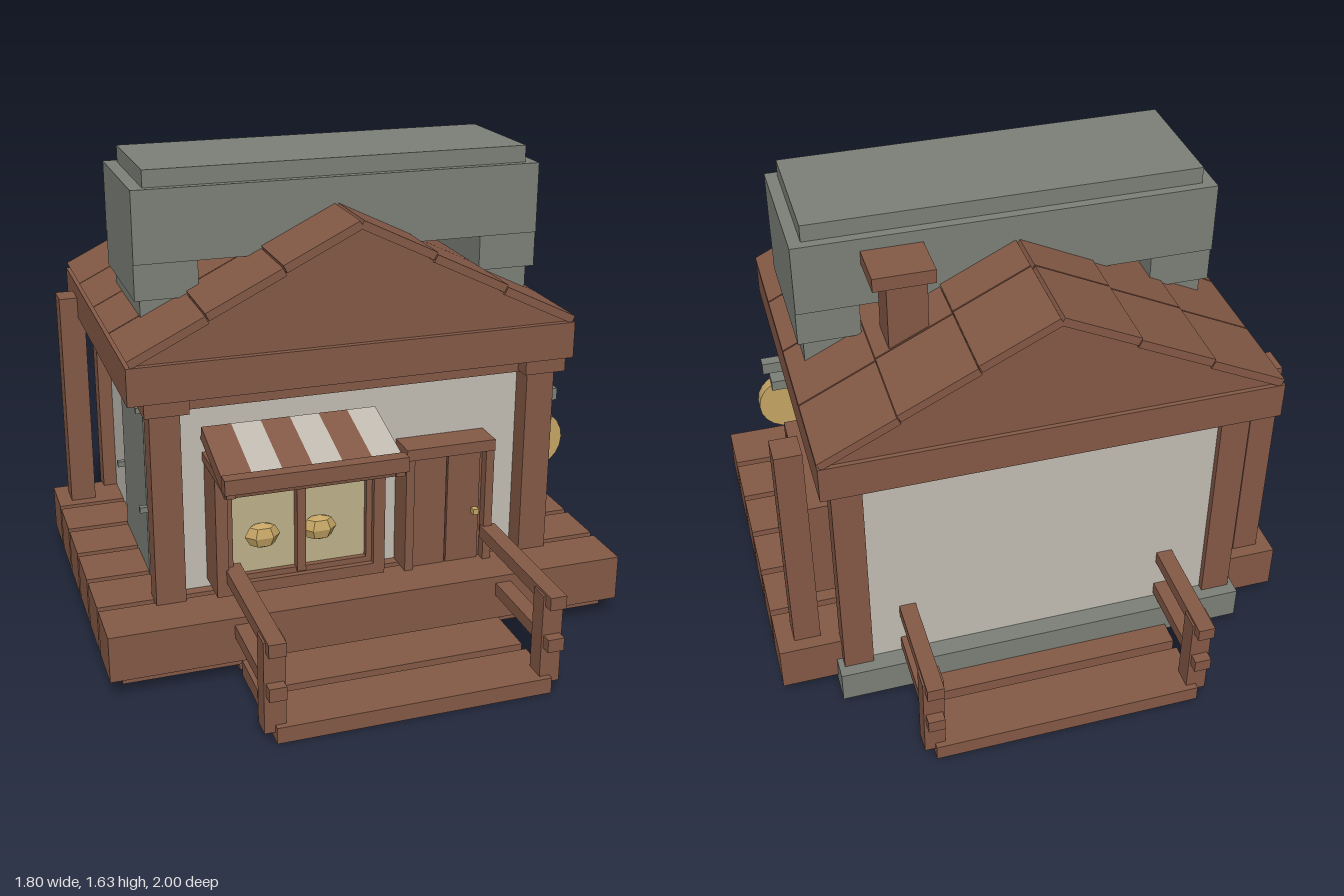
import * as THREE from 'three';

const mat = (name, color) => {
  const m = new THREE.MeshStandardMaterial({ color });
  m.name = name;
  return m;
};

export function createModel() {
  const wood = mat('wood', 0x835845);
  const stone = mat('stone', 0x7b7f77);
  const plaster = mat('plaster', 0xc0bab1);
  const glass = mat('glass', 0xbbb088);
  const gold = mat('gold', 0xc4a464);

  const root = new THREE.Group();
  const group = (name) => {
    const g = new THREE.Group();
    g.name = name;
    root.add(g);
    return g;
  };
  const add = (name, geo, m, parent = root) => {
    const mesh = new THREE.Mesh(geo, m);
    mesh.name = name;
    parent.add(mesh);
    return mesh;
  };
  // Box given by its extents on each axis
  const box = (name, m, [x0, x1], [y0, y1], [z0, z1], parent) => {
    const mesh = add(name, new THREE.BoxGeometry(x1 - x0, y1 - y0, z1 - z0), m, parent);
    mesh.position.set((x0 + x1) / 2, (y0 + y1) / 2, (z0 + z1) / 2);
    return mesh;
  };

  // Porch deck, foundation and the plank walkway under them
  const porch = group('porch');
  box('deckFrame', wood, [-0.855, 0.855], [0.036, 0.2], [-0.565, 0.565], porch);
  box('foundation', stone, [-0.73, 0.71], [0.032, 0.145], [-0.68, 0.48], porch);
  for (let i = 0; i < 6; i++) {
    const z = -0.6 + i * 0.204;
    box('deckPlank', wood, [-0.9, 0.9], [0.07, 0.23], [z, z + 0.18], porch);
  }
  for (let i = 0; i < 9; i++) {
    const z = -0.89 + i * 0.2225;
    box('walkwayPlank', wood, [-0.46, 0.46], [0, 0.055], [z - 0.095, z + 0.095], porch);
  }

  // Handrails at the front and back
  const rails = group('handrails');
  for (const sx of [-1, 1]) for (const sz of [-1, 1]) {
    const x = sx * 0.46;
    const span = (a, b) => (sz > 0 ? [a, b] : [-b, -a]);
    box('railPost', wood, [x - 0.035, x + 0.035], [0.03, 0.345], span(0.895, 0.965), rails);
    for (const y of [0.16, 0.31])
      box('rail', wood, [x - 0.028, x + 0.028], [y, y + 0.045], span(0.45, 1), rails);
  }

  // Walls, corner posts and beams
  const house = group('house');
  box('walls', plaster, [-0.66, 0.64], [0.1, 1], [-0.615, 0.36], house);
  box('stoneShaft', stone, [-0.685, 0.665], [0.1, 1.1], [-0.2, 0.2], house);
  for (const x of [-0.66, 0.64]) {
    box('frontPost', wood, [x - 0.05, x + 0.05], [0.2, 0.95], [0.355, 0.44], house);
    box('postCapital', wood, [x - 0.07, x + 0.075], [0.9, 0.955], [0.34, 0.47], house);
    box('backPost', wood, [x - 0.05, x + 0.05], [0.14, 0.96], [-0.64, -0.56], house);
    box('sideBeam', wood, [x - 0.035, x + 0.035], [0.935, 0.96], [-0.6, 0.4], house);
    for (const z of [-0.203, 0.203]) for (const y of [0.46, 0.82])
      box('shaftPeg', stone, [x - 0.05, x + 0.05], [y, y + 0.02], [z - 0.01, z + 0.01], house);
  }
  for (const x of [-0.805, 0.797])
    box('tallPost', wood, [x - 0.045, x + 0.045], [0.2, 1.03], [-0.555, -0.46], house);
  box('frontBeam', wood, [-0.61, 0.59], [0.893, 0.937], [0.35, 0.41], house);

  // Roof: eaves frame, gable prism and tilted panels
  const roof = group('roof');
  box('eavesFrame', wood, [-0.785, 0.73], [0.955, 1.08], [-0.7, 0.495], roof);
  const ridgeX = -0.025;
  const gable = new THREE.Shape([
    new THREE.Vector2(-0.765, 1.075), new THREE.Vector2(0.715, 1.075), new THREE.Vector2(ridgeX, 1.46),
  ]);
  add('gable', new THREE.ExtrudeGeometry(gable, { depth: 1.16, bevelEnabled: false }), wood, roof).position.z = -0.685;
  const slope = 0.48, panelLength = 0.278;
  for (const side of [-1, 1]) for (let row = 0; row < 3; row++) for (let col = 0; col < 4; col++) {
    const d = (row + 0.5) * 0.282;
    const panel = add('roofPanel', new THREE.BoxGeometry(panelLength, 0.028, 0.293), wood, roof);
    panel.position.set(ridgeX + side * d * Math.cos(slope), 1.474 - d * Math.sin(slope), -0.551 + col * 0.298);
    panel.rotation.z = -side * (slope - 0.025);
  }

  // Stone beam across the roof, carried by a block at each end
  const beam = group('stoneBeam');
  box('beamBody', stone, [-0.7, 0.695], [1.33, 1.57], [-0.245, 0.24], beam);
  box('beamTop', stone, [-0.657, 0.655], [1.565, 1.627], [-0.213, 0.215], beam);
  for (const [a, b] of [[-0.7, -0.49], [0.49, 0.695]]) {
    box('beamSupport', stone, [a, b], [1.21, 1.33], [-0.235, 0.235], beam);
    box('supportFoot', stone, [a + 0.02, b - 0.02], [1.1, 1.21], [-0.213, 0.213], beam);
  }

  // Chimney
  const chimney = group('chimney');
  box('chimneyShaft', wood, [0.305, 0.435], [1.1, 1.485], [-0.395, -0.265], chimney);
  box('chimneyCap', wood, [0.28, 0.48], [1.48, 1.527], [-0.41, -0.24], chimney);

  // Window in its own plane: x to the right, y up, z outwards, centred on the pane
  const makeWindow = (name, w, h, depth, border) => {
    const g = group(name);
    const hw = w / 2, hh = h / 2;
    const frame = (label, a, b, t, front) => {
      for (const s of [-1, 1]) {
        box(label, wood, s > 0 ? [a - t, a] : [-a, t - a], [-b, b], [0, front], g);
        box(label, wood, [t - a, a - t], s > 0 ? [b - t, b] : [-b, t - b], [0, front], g);
      }
    };
    frame('windowFrame', hw, hh, border, depth);
    frame('innerFrame', hw - border, hh - border, 0.02, depth - 0.02);
    box('pane', glass, [-hw + border, hw - border], [-hh + border, hh - border], [0, depth - 0.04], g);
    box('mullion', wood, [-0.015, 0.015], [-hh + border + 0.01, hh - border - 0.01], [0, depth - 0.005], g);
    return g;
  };
  const shop = makeWindow('shopWindow', 0.58, 0.42, 0.145, 0.04);
  shop.position.set(-0.23, 0.47, 0.36);
  const sideWindow = makeWindow('sideWindow', 0.47, 0.38, 0.1, 0.03);
  sideWindow.position.set(0.64, 0.51, -0.205);
  sideWindow.rotation.y = Math.PI / 2;

  // Loaves displayed in the shop window
  for (const x of [-0.13, 0.065]) {
    const geo = new THREE.SphereGeometry(0.06, 6, 4).toNonIndexed();
    geo.computeVertexNormals();
    const loaf = add('loaf', geo, gold, shop);
    loaf.position.set(x, -0.015, 0.125);
    loaf.scale.set(1, 0.75, 0.6);
  }

  // Striped awning
  const awning = group('awning');
  awning.position.set(-0.235, 0.803, 0.42);
  awning.rotation.x = 0.27;
  box('awningBase', wood, [-0.295, 0.3], [-0.045, -0.02], [-0.04, 0.27], awning);
  for (let i = 0; i < 6; i++) {
    const x = -0.295 + i * 0.099;
    box('awningStripe', i % 2 ? plaster : wood, [x, x + 0.099], [-0.02, 0.004], [-0.04, 0.25], awning);
  }
  box('awningBar', wood, [-0.535, 0.065], [0.712, 0.762], [0.655, 0.7]);
  for (const x of [-0.51, 0.045])
    box('awningBracket', wood, [x - 0.015, x + 0.015], [0.69, 0.72], [0.36, 0.68]);

  // Door
  const door = group('door');
  box('doorPanel', wood, [0.17, 0.45], [0.23, 0.66], [0.35, 0.43], door);
  box('doorLintel', wood, [0.15, 0.47], [0.64, 0.68], [0.35, 0.47], door);
  for (const x of [0.15, 0.44]) box('doorJamb', wood, [x, x + 0.03], [0.23, 0.66], [0.35, 0.465], door);
  for (const x of [0.186, 0.31]) box('doorBoard', wood, [x, x + 0.118], [0.23, 0.635], [0.43, 0.442], door);
  box('doorKnob', gold, [0.4, 0.42], [0.405, 0.425], [0.44, 0.465], door);

  // Hanging sign on the right wall
  const sign = group('hangingSign');
  box('signBracket', stone, [0.62, 0.77], [0.735, 0.778], [0.28, 0.32], sign);
  box('signClamp', stone, [0.62, 0.745], [0.67, 0.708], [0.26, 0.34], sign);
  const disc = add('signDisc', new THREE.CylinderGeometry(0.106, 0.106, 0.044, 20), gold, sign);
  disc.rotation.x = Math.PI / 2;
  disc.position.set(0.69, 0.592, 0.3);

  return root;
}
